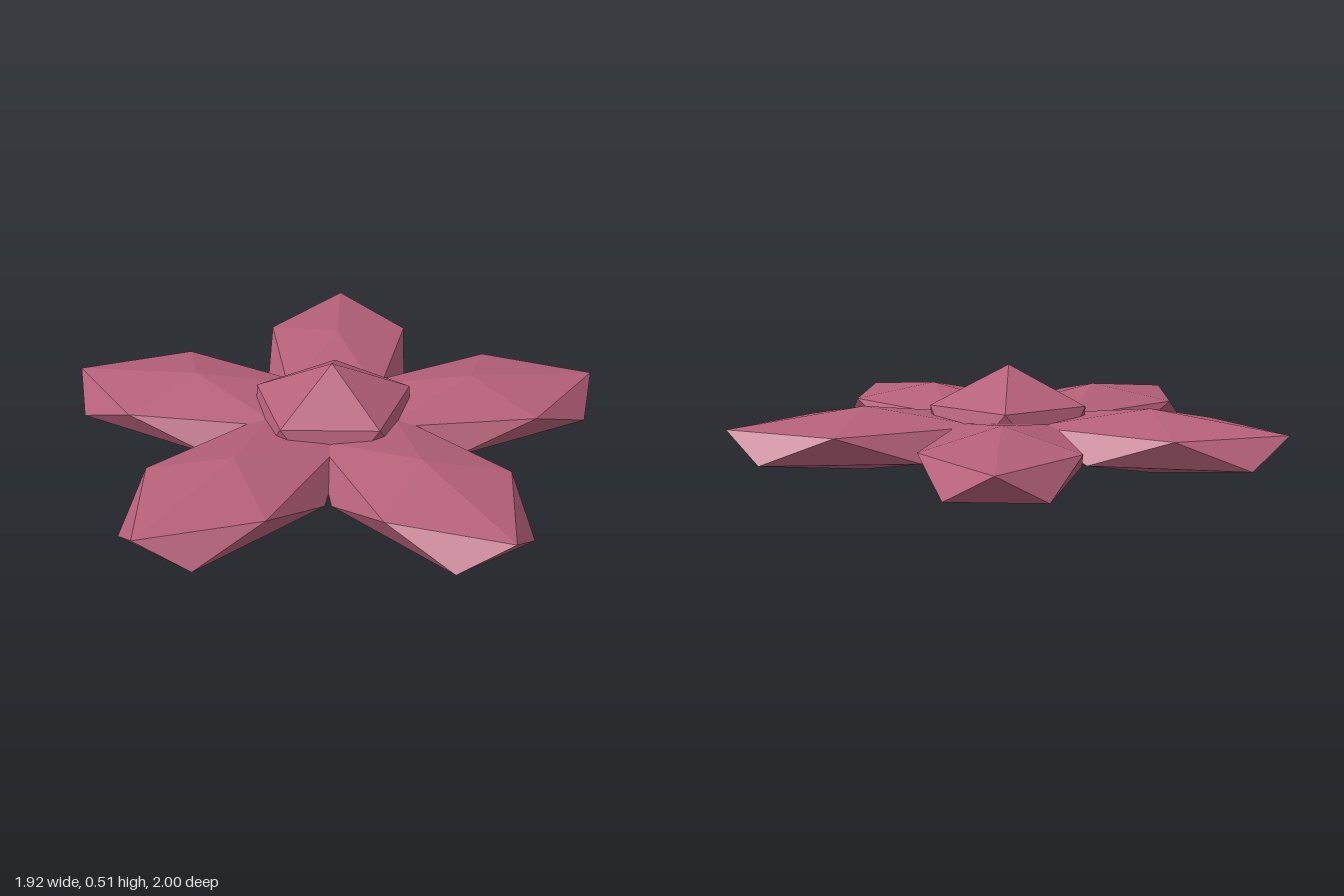
import * as THREE from 'three';

// Icosahedron standing on a corner, with one upper corner pointing to +x
function gem(rx, ry, rz) {
  const geo = new THREE.IcosahedronGeometry(1, 0);
  geo.rotateZ(-Math.atan(2 / (1 + Math.sqrt(5))));
  geo.scale(rx, ry, rz);
  geo.computeVertexNormals();
  return geo;
}

export function createModel() {
  const flower = new THREE.Group();
  flower.name = 'flower';
  const rose = new THREE.MeshStandardMaterial({ color: 0xb5607a, flatShading: true });
  rose.name = 'rose pink';

  // Shift along x so the five petals are centred in the bounds
  flower.position.set(-0.092, 0.256, 0);

  // Flower centre
  const centre = new THREE.Mesh(gem(0.337, 0.256, 0.337), rose);
  centre.name = 'flowerCentre';
  flower.add(centre);

  // Five long petals around the centre
  const petalGeo = gem(0.56, 0.118, 0.32);
  for (let i = 0; i < 5; i++) {
    const petal = new THREE.Mesh(petalGeo, rose);
    const a = (i * Math.PI * 2) / 5;
    petal.name = 'petal' + (i + 1);
    petal.position.set(0.549 * Math.cos(a), 0.003, 0.549 * Math.sin(a));
    petal.rotation.y = -a;
    flower.add(petal);
  }

  const model = new THREE.Group();
  model.name = 'model';
  model.add(flower);
  return model;
}
